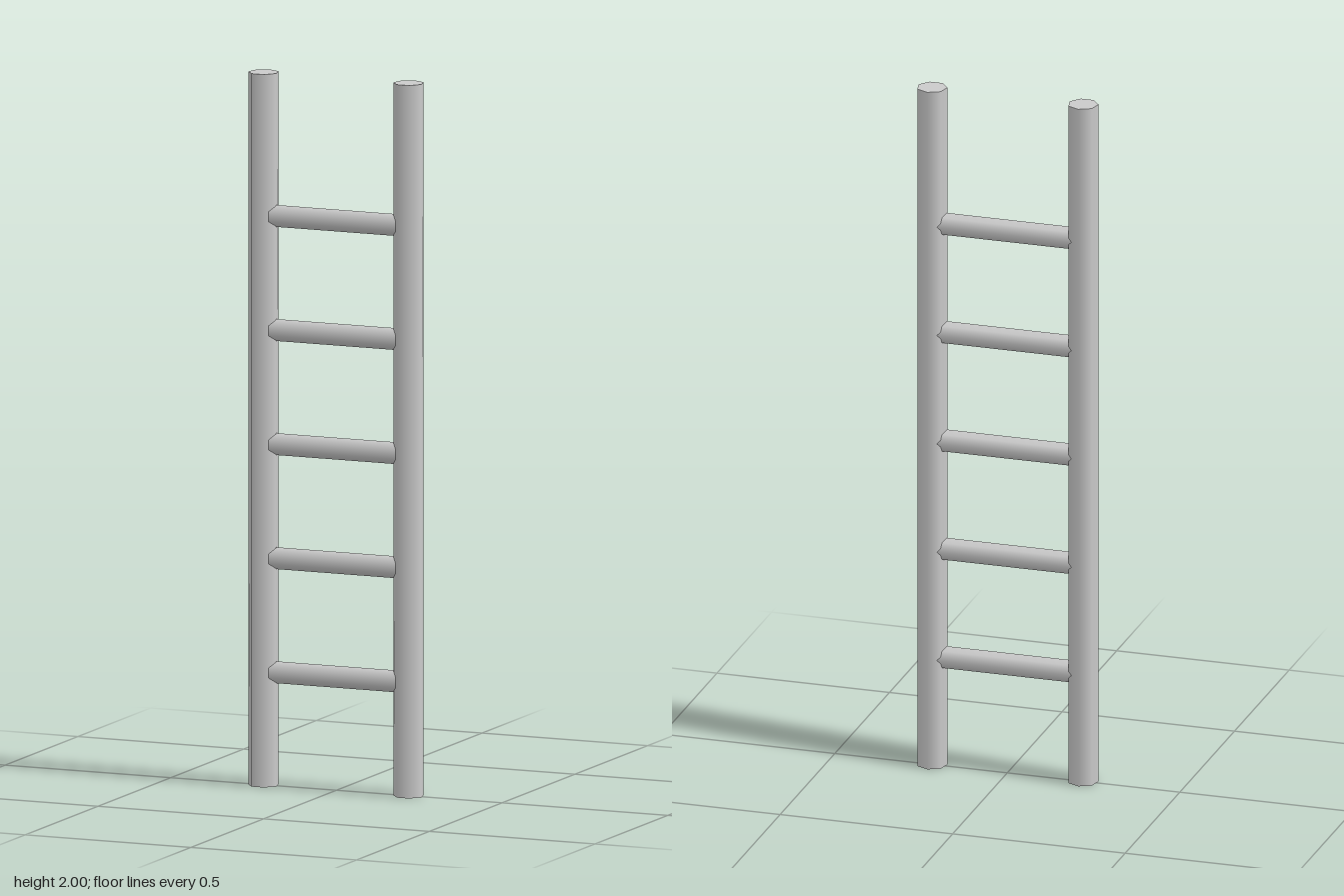
import * as THREE from 'three';

const SIDES = 7;
const HEIGHT = 2;
const RAIL_RADIUS = 0.043;
const RUNG_RADIUS = 0.0315;
const RAIL_X = 0.219;
const RUNG_COUNT = 5;
const RUNG_SPACING = 0.32;
const AXIS_Z = 0.002; // centres the odd-sided rails on z = 0

// Seven-sided rod with one corner pointing to the back
function rod(radius, length) {
  return new THREE.CylinderGeometry(radius, radius, length, SIDES, 1, false, Math.PI);
}

export function createModel() {
  const ladder = new THREE.Group();
  ladder.name = 'ladder';
  const material = new THREE.MeshStandardMaterial({ color: 0xcccccc });

  // Upright side rails
  const railGeometry = rod(RAIL_RADIUS, HEIGHT);
  for (const [name, side] of [['leftRail', 1], ['rightRail', -1]]) {
    const rail = new THREE.Mesh(railGeometry, material);
    rail.name = name;
    rail.position.set(side * RAIL_X, HEIGHT / 2, AXIS_Z);
    ladder.add(rail);
  }

  // Evenly spaced rungs, ending inside the rails
  const rungGeometry = rod(RUNG_RADIUS, RAIL_X * 2).rotateZ(Math.PI / 2);
  for (let i = 1; i <= RUNG_COUNT; i++) {
    const rung = new THREE.Mesh(rungGeometry, material);
    rung.name = `rung${i}`;
    rung.position.set(0, i * RUNG_SPACING, AXIS_Z);
    ladder.add(rung);
  }

  return ladder;
}
